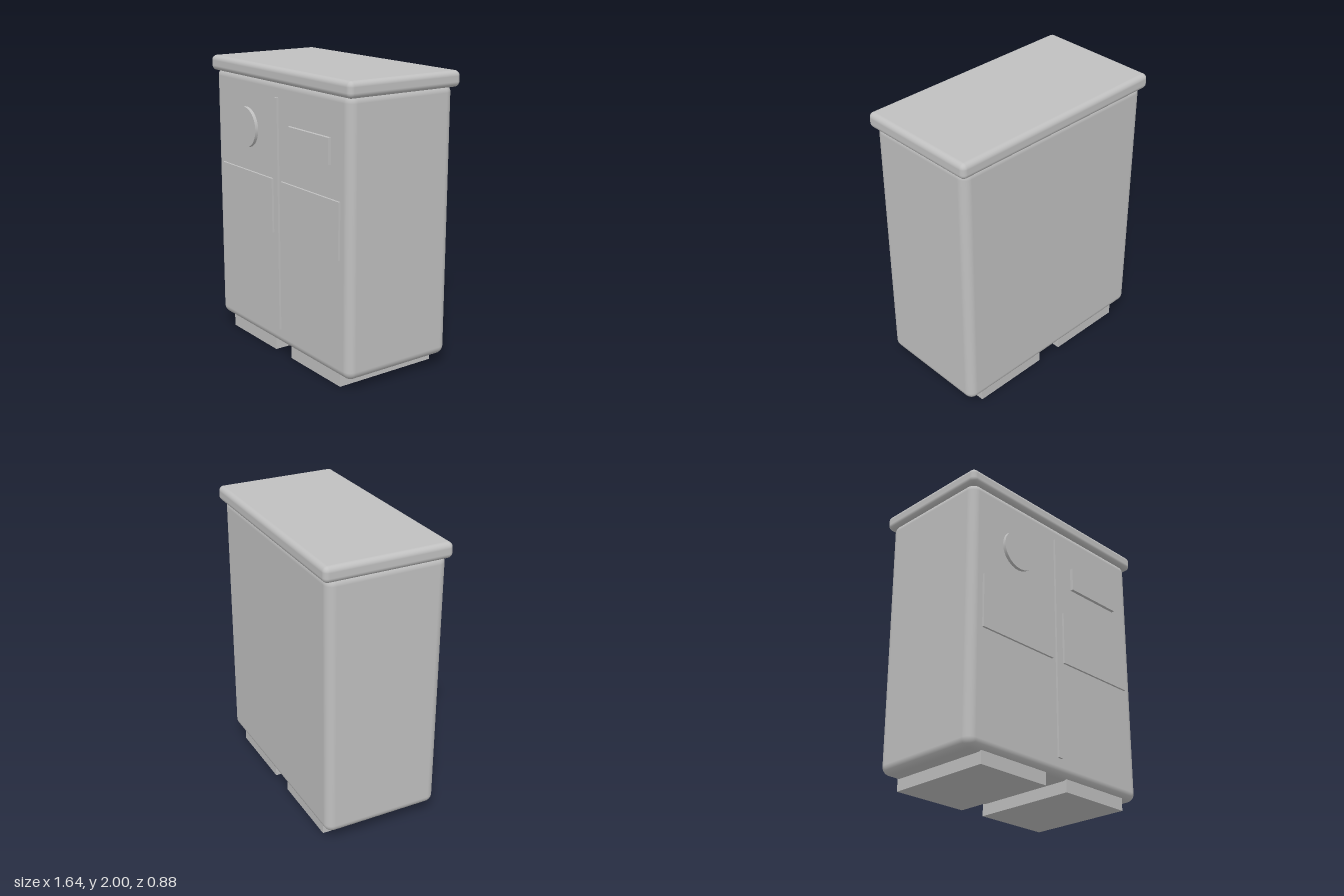
import * as THREE from 'three';
import { RoundedBoxGeometry } from 'three/addons/geometries/RoundedBoxGeometry.js';

export function createModel() {
  const model = new THREE.Group();
  model.name = 'recyclingCabinet';
  const grey = new THREE.MeshStandardMaterial({ color: 0xc0c0c0 });
  grey.name = 'light grey';

  const add = (name, geometry, x, y, z) => {
    const mesh = new THREE.Mesh(geometry, grey);
    mesh.name = name;
    mesh.position.set(x, y, z);
    model.add(mesh);
    return mesh;
  };

  const cx = -0.004, cz = 0.003; // cabinet axis
  const bodyFront = 0.415;

  // Soft-edged cabinet and overhanging lid
  add('body', new RoundedBoxGeometry(1.582, 1.84, 0.824, 6, 0.06), cx, 1.0, cz);
  add('lid', new RoundedBoxGeometry(1.637, 0.105, 0.88, 6, 0.035), 0, 1.9475, 0);

  // Pair of plinth feet, sunk slightly into the body
  for (const [name, side] of [['leftFoot', 1], ['rightFoot', -1]]) {
    add(name, new THREE.BoxGeometry(0.563, 0.1, 0.76), cx + side * 0.378, 0.05, 0.004);
  }

  // Raised front details, with their backs embedded in the cabinet
  const plate = (name, w, h, x, y, out) =>
    add(name, new THREE.BoxGeometry(w, h, out + 0.01), x, y, bodyFront + (out - 0.01) / 2);
  plate('centreStrip', 0.037, 1.605, -0.003, 0.9975, 0.015);
  plate('rightPanel', 0.642, 0.375, -0.378, 1.0625, 0.015);
  plate('leftPanel', 0.642, 0.375, 0.373, 1.0625, 0.015);
  plate('paperSlot', 0.45, 0.17, 0.373, 1.55, 0.023);

  const disc = add('roundOpening', new THREE.CylinderGeometry(0.14, 0.14, 0.033, 48),
    -0.379, 1.55, bodyFront + 0.0065);
  disc.rotation.x = Math.PI / 2;

  return model;
}
